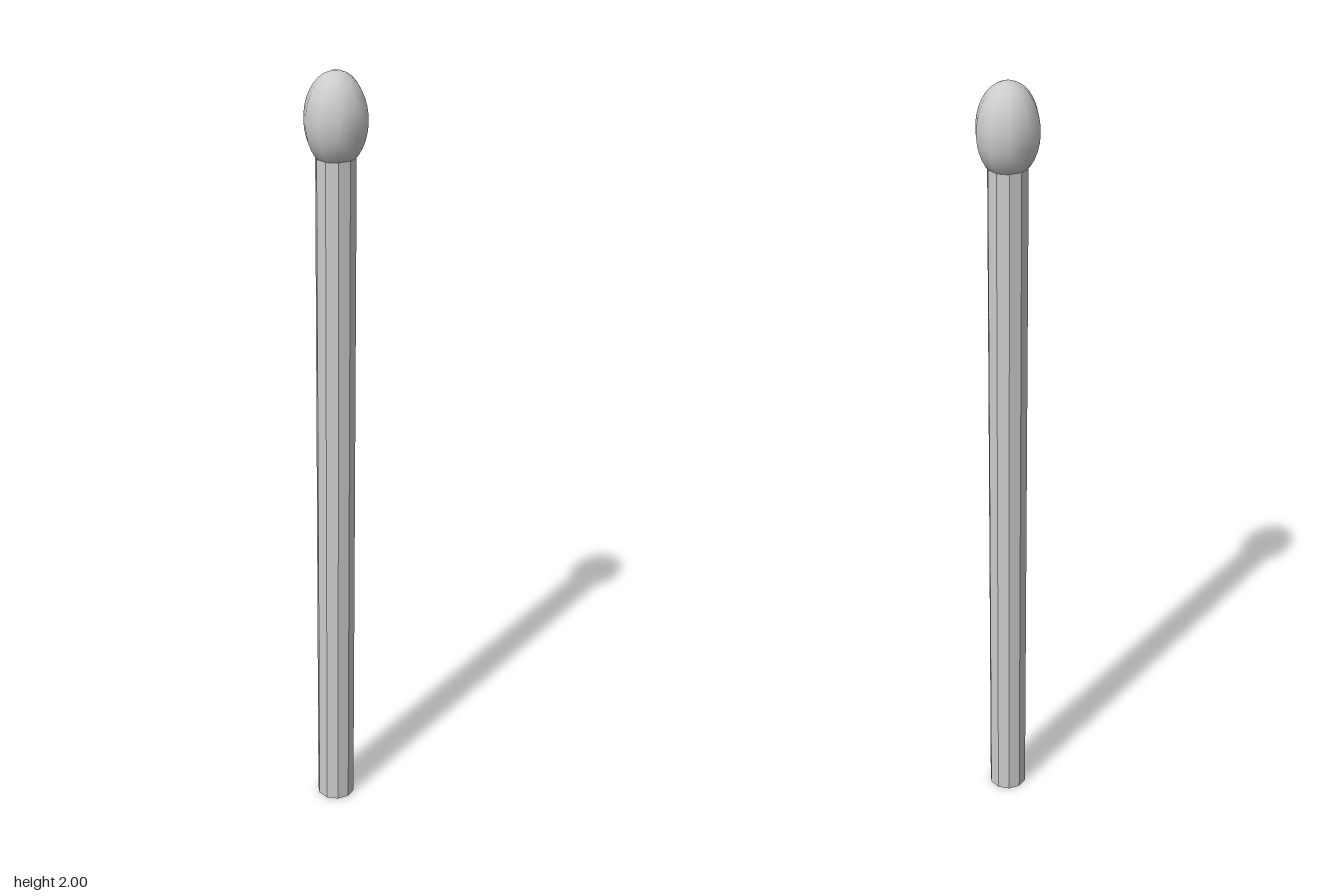
import * as THREE from 'three';

export function createModel() {
  const group = new THREE.Group();
  const sides = 10;
  const neckY = 1.795;

  // Straight ten-sided stick, a corner on each side along x
  const stick = new THREE.Mesh(
    new THREE.CylinderGeometry(0.05, 0.05, neckY, sides, 1, false, Math.PI / 2),
    new THREE.MeshStandardMaterial({ color: 0xcccccc, flatShading: true })
  );
  stick.name = 'stick';
  stick.position.y = neckY / 2;
  group.add(stick);

  // Egg-shaped tip: an ellipse profile cut off where it meets the stick
  const radius = 0.078, halfHeight = 0.115, centreY = 2 - halfHeight;
  const start = -Math.asin((centreY - neckY + 0.005) / halfHeight);
  const steps = 14;
  const profile = [];
  for (let i = 0; i <= steps; i++) {
    const a = start + (Math.PI / 2 - start) * i / steps;
    const r = i === steps ? 0 : radius * Math.cos(a);
    profile.push(new THREE.Vector2(r, centreY + halfHeight * Math.sin(a)));
  }
  const tip = new THREE.Mesh(
    new THREE.LatheGeometry(profile, sides, Math.PI / 2),
    new THREE.MeshStandardMaterial({ color: 0xcccccc })
  );
  tip.name = 'tip';
  tip.scale.z = 1.065; // slightly deeper than wide
  group.add(tip);

  return group;
}
